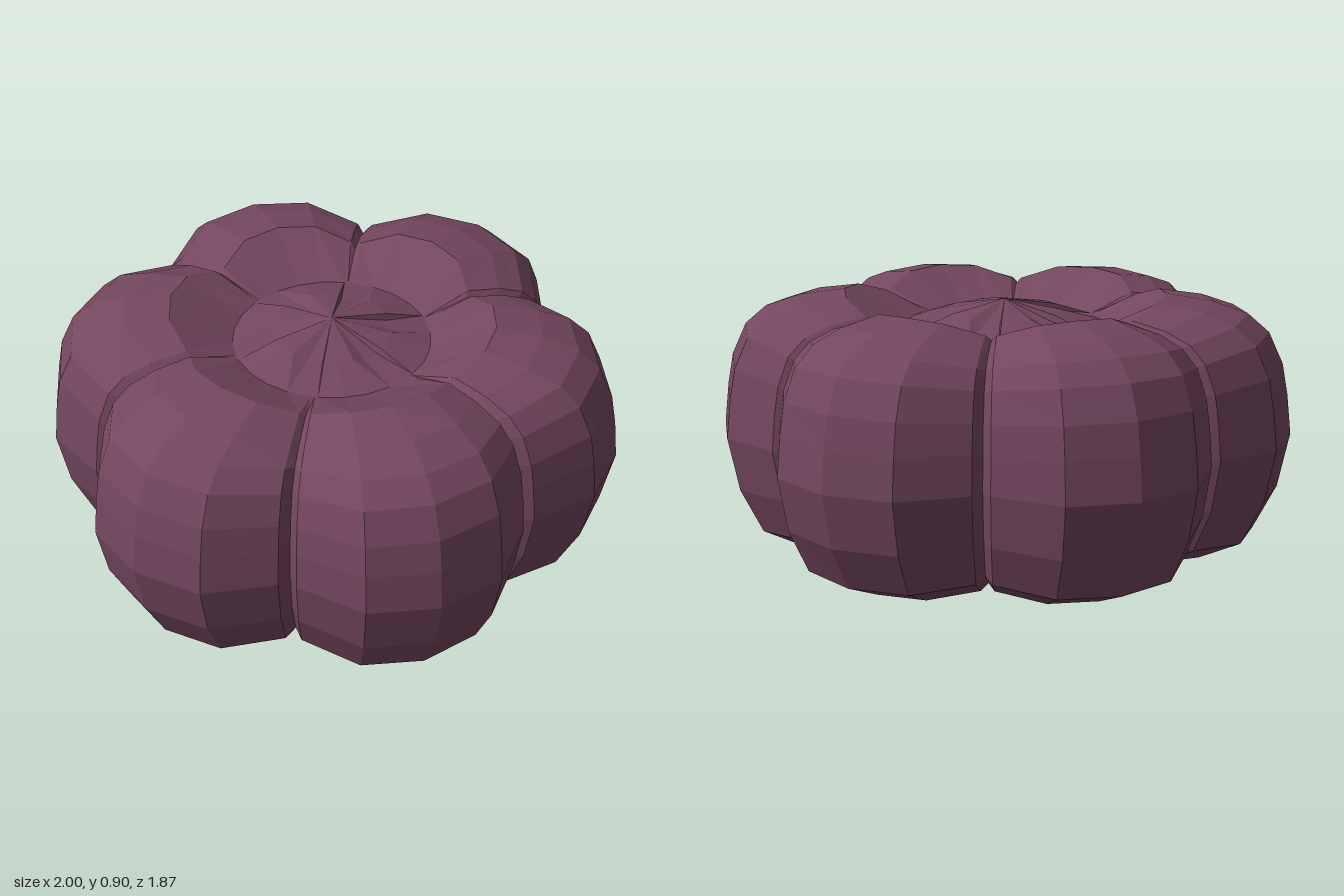
import * as THREE from 'three';

const LOBES = 6;
// Across one lobe: angle in degrees from its middle, radial swell, height swell above and below
const COLUMNS = [
  [-30, 0.70, 0.85, 0.90],
  [-28, 0.773, 0.89, 0.94],
  [-14, 0.955, 0.98, 0.99],
  [0, 1, 1, 1],
  [14, 0.955, 0.98, 0.99],
  [28, 0.773, 0.89, 0.94],
];
// Lobe middle profile (radius, height), from the top rim outwards and down to the bottom rim
const PROFILE = [
  [0.34, 0.79], [0.56, 0.9], [0.72, 0.876], [0.84, 0.835], [0.915, 0.77], [0.965, 0.66],
  [0.985, 0.55], [1, 0.41], [0.96, 0.22], [0.88, 0.065], [0.73, 0], [0.385, 0.08],
];
const MID_Y = 0.45;

// Closed faceted skin: point(i, j) gives [angle, radius, y]; i runs round, j runs along the profile
function skin(name, around, along, point, material) {
  const positions = [];
  const index = [];
  for (let i = 0; i < around; i++) {
    for (let j = 0; j < along; j++) {
      const [angle, r, y] = point(i, j);
      positions.push(r * Math.cos(angle), y, r * Math.sin(angle));
      if (j === along - 1) continue;
      const a = i * along + j;
      const b = ((i + 1) % around) * along + j;
      index.push(a, b, a + 1, b, b + 1, a + 1);
    }
  }
  const geometry = new THREE.BufferGeometry();
  geometry.setAttribute('position', new THREE.Float32BufferAttribute(positions, 3));
  geometry.setIndex(index);
  geometry.computeVertexNormals();
  const mesh = new THREE.Mesh(geometry, material);
  mesh.name = name;
  return mesh;
}

export function createModel() {
  const group = new THREE.Group();
  group.name = 'lobedPouf';
  const fabric = new THREE.MeshStandardMaterial({ color: 0x74475f, flatShading: true, roughness: 0.9 });

  const count = LOBES * COLUMNS.length;
  const angleAt = (i) => {
    const lobe = Math.floor(i / COLUMNS.length);
    return THREE.MathUtils.degToRad(lobe * (360 / LOBES) + COLUMNS[i % COLUMNS.length][0]);
  };

  // Six padded lobes pinched together at the seams
  group.add(skin('lobes', count, PROFILE.length, (i, j) => {
    const [, swell, above, below] = COLUMNS[i % COLUMNS.length];
    const [r, y] = PROFILE[j];
    if (j === 0 || j === PROFILE.length - 1) return [angleAt(i), r, y];
    const k = y > MID_Y ? above : below;
    return [angleAt(i), 0.34 + (r - 0.34) * swell, MID_Y + (y - MID_Y) * k];
  }, fabric));

  // Shallow gathered caps that close the middle, with pleats alternating high and low
  const topCap = [[0, 0.873], [0.2, 0.825], [0.34, 0.79]];
  const bottomCap = [[0.385, 0.08], [0.22, 0.05], [0, 0.015]];
  const pleat = (i) => (Math.floor(i / 3) % 2 ? 0.012 : -0.012);
  for (const [name, cap] of [['topGather', topCap], ['bottomGather', bottomCap]]) {
    group.add(skin(name, count, 3, (i, j) => {
      const [r, y] = cap[j];
      return [angleAt(i), r, y + (j === 1 ? pleat(i) : 0)];
    }, fabric));
  }
  return group;
}
